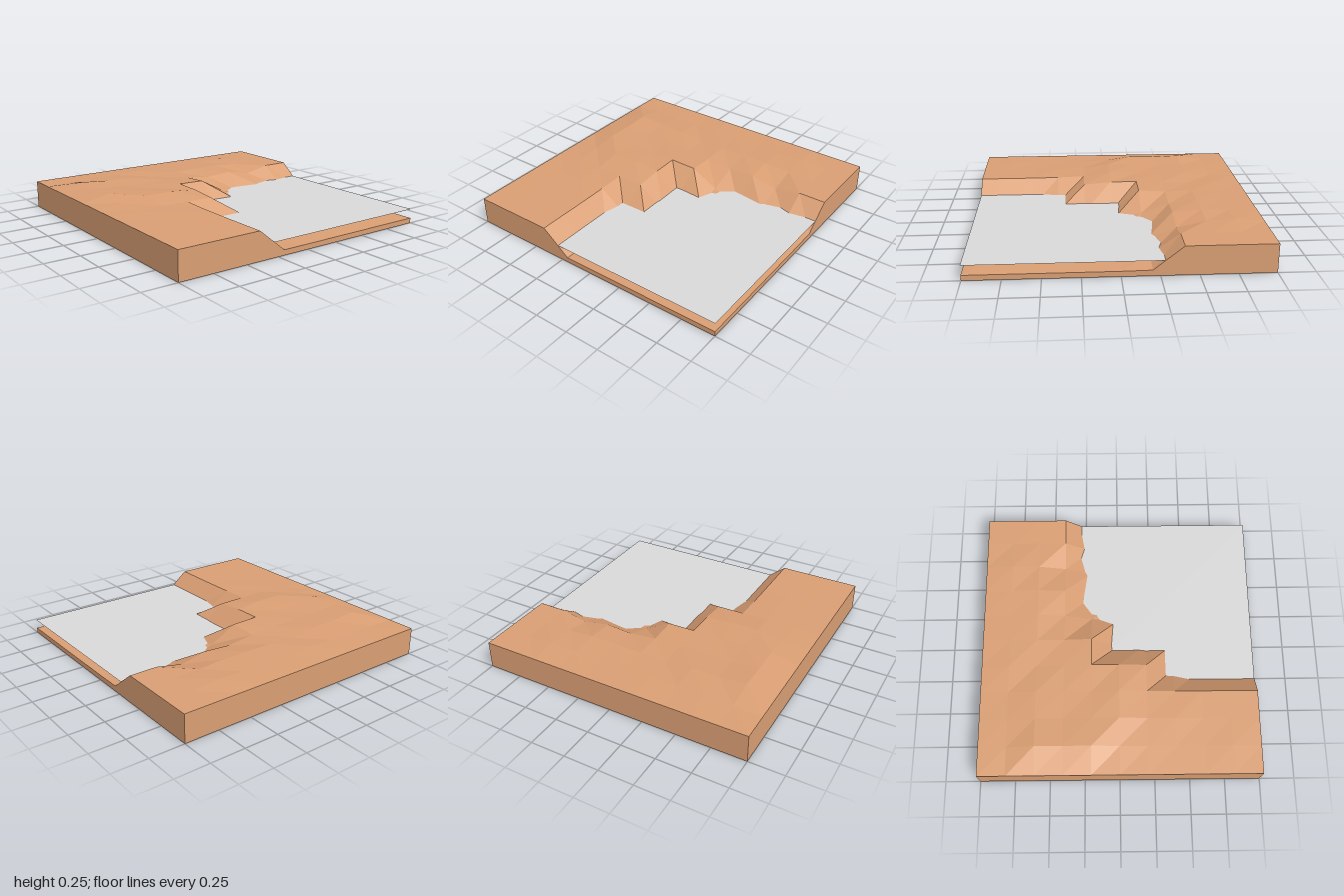
import * as THREE from 'three';

// Terrain heights in thousandths: rows run back to front, columns -x to +x
const HEIGHTS = [
  [200, 200, 200, 200, 40, 37, 37, 37, 37, 37, 37],
  [200, 200, 200, 200, 64, 50, 45, 45, 45, 45, 37],
  [200, 215, 204, 160, 84, 55, 50, 50, 50, 45, 37],
  [200, 208, 215, 198, 64, 55, 50, 50, 50, 45, 37],
  [200, 205, 215, 185, 115, 75, 55, 50, 50, 45, 37],
  [200, 206, 212, 208, 220, 63, 65, 66, 50, 45, 37],
  [200, 212, 205, 215, 225, 222, 205, 67, 37, 37, 37],
  [200, 205, 225, 220, 222, 240, 208, 202, 200, 200, 200],
  [200, 210, 228, 222, 232, 240, 210, 208, 200, 200, 200],
  [200, 206, 245, 238, 243, 215, 206, 202, 200, 203, 200],
  [200, 200, 200, 200, 200, 200, 200, 200, 200, 200, 200],
];
const WATER_LEVEL = 0.104;

// Solid block whose top grid is raised to the height map
function terrainGeometry() {
  const n = HEIGHTS.length - 1;
  const box = new THREE.BoxGeometry(2, 1, 2, n, 1, n);
  const pos = box.attributes.position;
  for (let i = 0; i < pos.count; i++) {
    const col = Math.round((pos.getX(i) + 1) * n / 2);
    const row = Math.round((pos.getZ(i) + 1) * n / 2);
    pos.setY(i, pos.getY(i) > 0 ? HEIGHTS[row][col] / 1000 : 0);
  }
  // Unshared corners give each facet its own normal
  const faceted = box.toNonIndexed();
  faceted.computeVertexNormals();
  return faceted;
}

export function createModel() {
  const earth = new THREE.MeshStandardMaterial({ color: 0xd99e73 });
  earth.name = 'earth brown';
  const pale = new THREE.MeshStandardMaterial({ color: 0xd8d8d8, side: THREE.DoubleSide });
  pale.name = 'water grey';

  const model = new THREE.Group();
  model.name = 'shoreTile';

  const ground = new THREE.Mesh(terrainGeometry(), earth);
  ground.name = 'ground';
  model.add(ground);

  // Water sheet over the low corner, its inner edges buried in the bank
  const water = new THREE.Mesh(new THREE.PlaneGeometry(1.4, 1.4).rotateX(-Math.PI / 2), pale);
  water.name = 'water';
  water.position.set(0.3, WATER_LEVEL, -0.3);
  model.add(water);

  return model;
}
